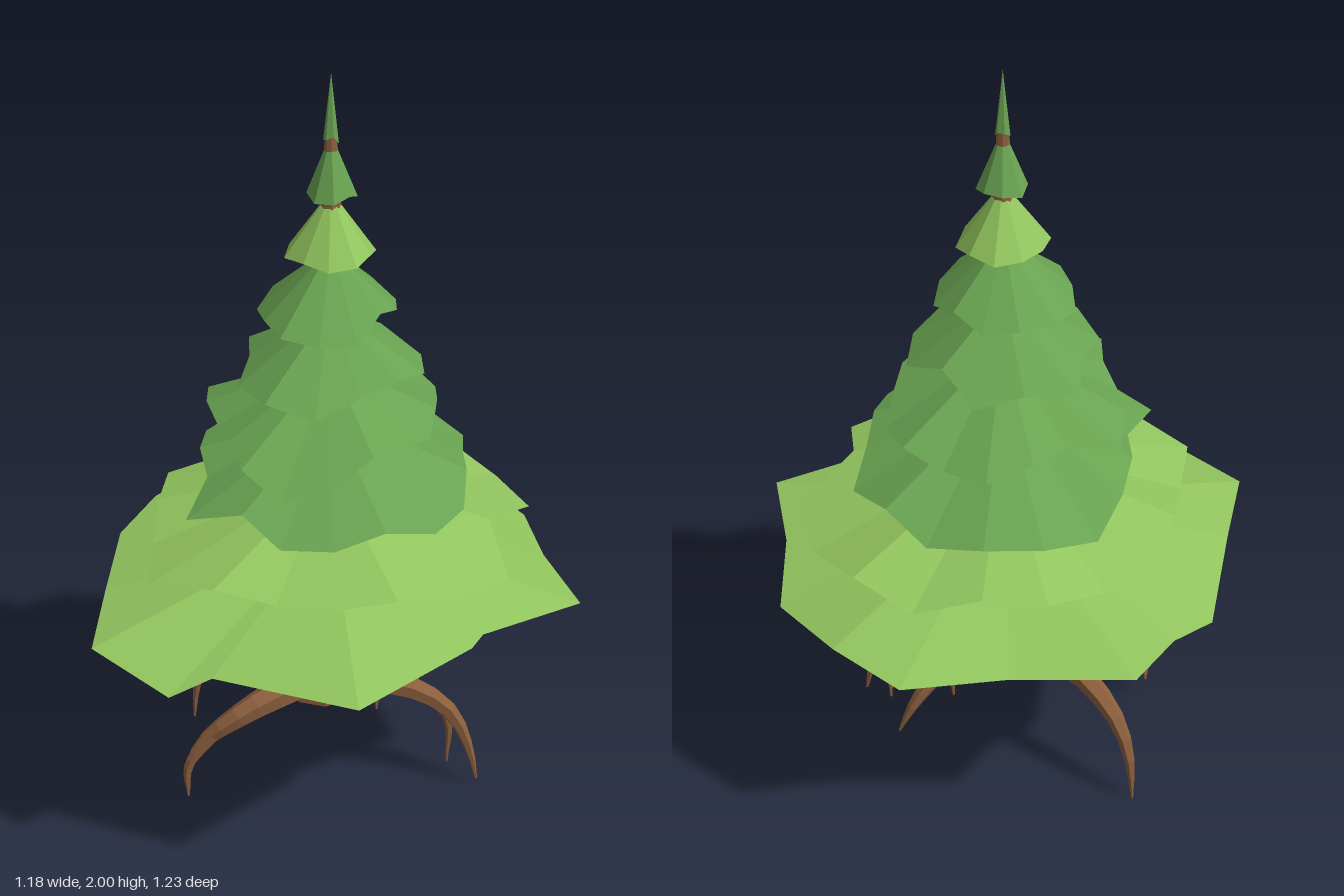
import * as THREE from 'three';

const mat = (name, color) => {
  const m = new THREE.MeshStandardMaterial({ color, flatShading: true });
  m.name = name;
  return m;
};

// Trunk axis: a slight lean away from the centre
const AX = 0.01, AZ = -0.022;

// Rim corners at equal angles, clockwise from the back, one radius each
const ring = (radii) => radii.map((r, i) => {
  const a = (i / radii.length) * Math.PI * 2;
  return [AX + Math.sin(a) * r, AZ - Math.cos(a) * r];
});

// Slightly uneven round rim
const roundRing = (n, r) => ring(Array.from({ length: n }, (_, i) => r * (1 + 0.06 * Math.sin(i * 2.3))));

// Closed skirt of foliage: a cone down to a wavy rim, and a shallow hollow underneath
function skirt(apex, slope, wobble, rim) {
  const corners = rim.map(([x, z], i) =>
    [x, apex - slope * Math.hypot(x - AX, z - AZ) + wobble * Math.sin(i * 2 + 2), z]);
  const rimY = corners.reduce((sum, c) => sum + c[1], 0) / corners.length;
  const hollow = THREE.MathUtils.lerp(rimY, apex, 0.2);
  const pos = corners.flatMap((c, i) => {
    const next = corners[(i + 1) % corners.length];
    return [AX, apex, AZ, ...next, ...c, AX, hollow, AZ, ...c, ...next];
  });
  const g = new THREE.BufferGeometry();
  g.setAttribute('position', new THREE.Float32BufferAttribute(pos, 3));
  g.computeVertexNormals();
  return g;
}

// Tube that tapers to a point along a smooth path
function taperedTube(points, radius, rings = 10, sides = 6) {
  const curve = new THREE.CatmullRomCurve3(points.map((p) => new THREE.Vector3(...p)));
  const g = new THREE.TubeGeometry(curve, rings, 1, sides, false);
  const p = g.attributes.position, v = new THREE.Vector3();
  for (let i = 0; i <= rings; i++) {
    const c = curve.getPointAt(i / rings);
    const r = THREE.MathUtils.lerp(radius, 0.003, (i / rings) ** 1.4);
    for (let j = 0; j <= sides; j++) {
      const k = i * (sides + 1) + j;
      v.fromBufferAttribute(p, k).sub(c).multiplyScalar(r).add(c);
      p.setXYZ(k, v.x, v.y, v.z);
    }
  }
  g.computeVertexNormals();
  return g;
}

// Trunk, flared at the foot, tapering upwards and leaning onto the axis
function trunkGeometry() {
  const profile = [[0, 0.29], [0.094, 0.29], [0.088, 0.45], [0.083, 0.66], [0.058, 1.1],
    [0.034, 1.54], [0.013, 1.86], [0, 1.93]];
  const g = new THREE.LatheGeometry(profile.map(([r, y]) => new THREE.Vector2(r, y)), 8);
  const p = g.attributes.position;
  for (let i = 0; i < p.count; i++) {
    const t = THREE.MathUtils.clamp((p.getY(i) - 0.29) / 0.7, 0, 1);
    p.setXYZ(i, p.getX(i) + AX * t, p.getY(i), p.getZ(i) + AZ * t);
  }
  return g;
}

export function createModel() {
  const tree = new THREE.Group();
  tree.name = 'pineTree';
  const bark = mat('bark', 0x8c5f3d);
  const lightGreen = mat('lightGreen', 0x92c55e);
  const darkGreen = mat('darkGreen', 0x69a351);
  const add = (name, geometry, material) => {
    const mesh = new THREE.Mesh(geometry, material);
    mesh.name = name;
    tree.add(mesh);
  };

  add('trunk', trunkGeometry(), bark);

  // Arching main roots
  const root = (name, radius, ...path) => add(name, taperedTube(path, radius), bark);
  root('rightRoot', 0.042, [0, 0.32, 0], [-0.25, 0.32, 0.01], [-0.37, 0.235, 0.02], [-0.42, 0.13, 0.02], [-0.435, 0, 0.02]);
  root('leftRoot', 0.042, [0, 0.32, 0], [0.19, 0.315, -0.11], [0.28, 0.24, -0.18], [0.33, 0.12, -0.21], [0.35, 0.02, -0.22]);
  root('frontRoot', 0.047, [0, 0.34, 0], [-0.01, 0.345, 0.1], [-0.07, 0.305, 0.23], [-0.16, 0.2, 0.31], [-0.2, 0.08, 0.31]);
  root('backRoot', 0.044, [0, 0.33, 0], [0.01, 0.345, -0.1], [0.025, 0.315, -0.22], [0.055, 0.21, -0.305], [0.08, 0.12, -0.335]);

  // Thin side roots
  root('frontSideRoot', 0.022, [-0.12, 0.26, 0.28], [-0.17, 0.15, 0.34], [-0.17, 0.055, 0.345]);
  root('leftSideRoot', 0.018, [0.2, 0.31, -0.12], [0.26, 0.2, -0.2], [0.26, 0.04, -0.21]);
  root('backSideRoot', 0.016, [0.01, 0.34, -0.08], [0.055, 0.25, -0.16], [0.06, 0.15, -0.16]);

  // Foliage from bottom to top; the broadest skirt has a ragged outline
  const ragged = [[-0.02, -0.62], [0.22, -0.59], [0.39, -0.43], [0.59, -0.3], [0.49, -0.02], [0.5, 0.04],
    [0.44, 0.41], [0.08, 0.52], [0.02, 0.61], [-0.24, 0.6], [-0.38, 0.4], [-0.56, 0.15],
    [-0.57, 0], [-0.59, -0.15], [-0.38, -0.37], [-0.23, -0.59]];
  add('foliageSkirt1', skirt(0.795, 0.27, 0.02, ragged), lightGreen);
  add('foliageSkirt2', skirt(0.945, 0.32, 0.02, ring([0.5, 0.51, 0.52, 0.4, 0.5, 0.455,
    0.44, 0.42, 0.41, 0.45, 0.52, 0.45, 0.44, 0.48, 0.45, 0.465, 0.445, 0.49])), lightGreen);
  add('foliageSkirt3', skirt(1.115, 0.45, 0.016, ring([0.39, 0.4, 0.34, 0.34, 0.37, 0.38,
    0.36, 0.375, 0.375, 0.34, 0.41, 0.31, 0.33, 0.36, 0.41, 0.415, 0.41, 0.41])), darkGreen);
  add('foliageSkirt4', skirt(1.255, 0.49, 0.016, ring([0.33, 0.31, 0.27, 0.26, 0.275, 0.26,
    0.28, 0.33, 0.37, 0.34, 0.27, 0.28, 0.31, 0.35, 0.27, 0.31, 0.35, 0.32])), darkGreen);
  add('foliageSkirt5', skirt(1.4, 0.69, 0.014,
    ring([0.2, 0.24, 0.23, 0.21, 0.2, 0.25, 0.25, 0.24, 0.2, 0.26, 0.22, 0.24])), darkGreen);
  add('foliageSkirt6', skirt(1.56, 0.95, 0.012,
    ring([0.16, 0.17, 0.16, 0.15, 0.18, 0.18, 0.19, 0.17, 0.18, 0.18, 0.17, 0.17])), darkGreen);
  add('foliageSkirt7', skirt(1.705, 1.45, 0.006, roundRing(10, 0.108)), lightGreen);
  add('foliageSkirt8', skirt(1.85, 2.5, 0.004, roundRing(8, 0.061)), darkGreen);
  add('treeTip', skirt(2, 9, 0.006, roundRing(6, 0.018)), darkGreen);

  return tree;
}
